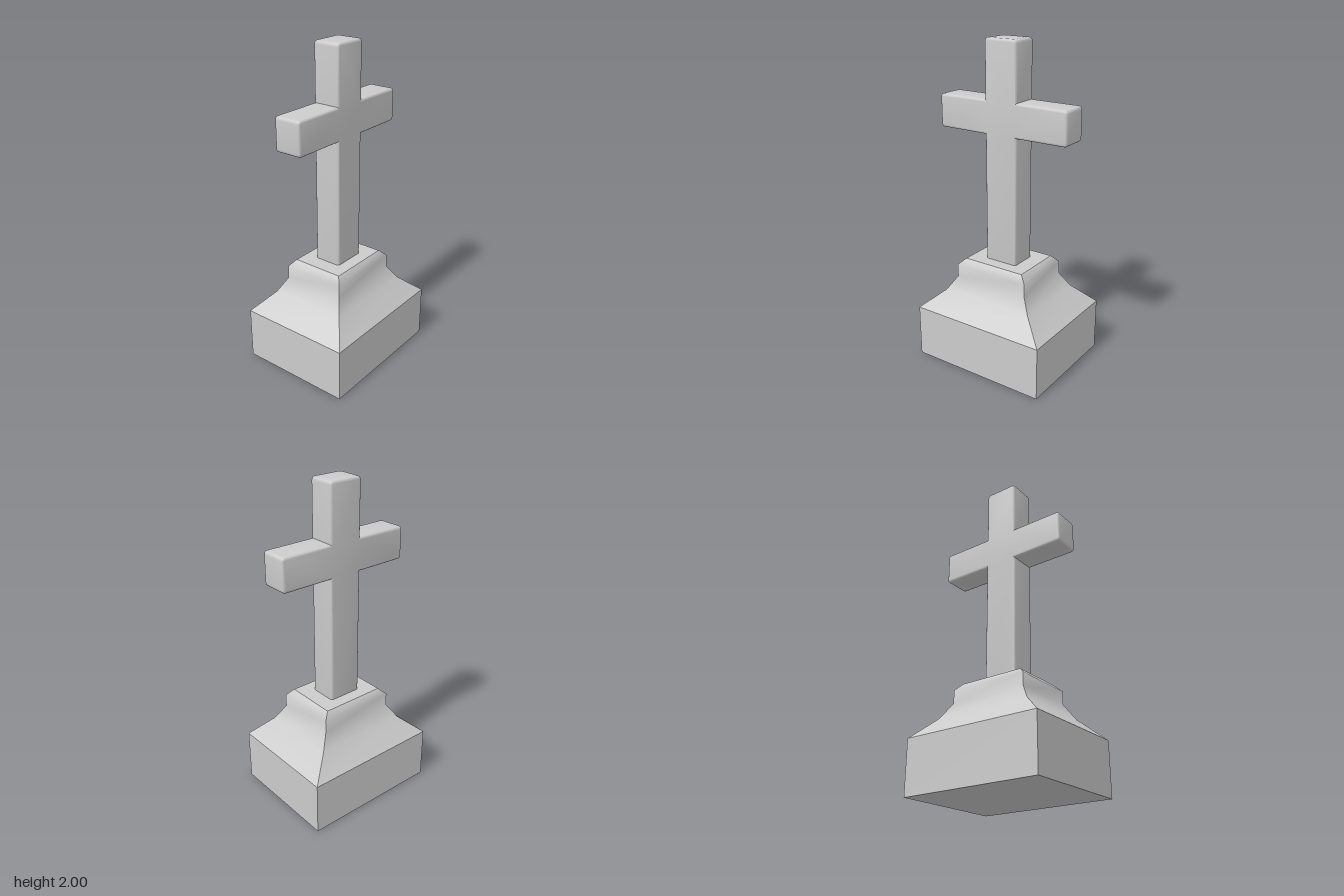
import * as THREE from 'three';
import { toCreasedNormals } from 'three/addons/utils/BufferGeometryUtils.js';

const material = new THREE.MeshStandardMaterial({ color: 0xcccccc });

// One side of the flared pedestal: a strip smooth along its height, sharp at the corners
function flareSide(profile, turn) {
  const positions = [], index = [];
  profile.forEach(([hx, hz, y], i) => {
    const [half, out] = turn % 2 ? [hz, hx] : [hx, hz];
    positions.push(-half, y, out, half, y, out);
    if (i > 0) {
      const a = 2 * (i - 1);
      index.push(a, a + 1, a + 3, a, a + 3, a + 2);
    }
  });
  const geometry = new THREE.BufferGeometry();
  geometry.setAttribute('position', new THREE.Float32BufferAttribute(positions, 3));
  geometry.setIndex(index);
  geometry.computeVertexNormals();
  return geometry.rotateY(turn * Math.PI / 2);
}

// Closed outline whose convex corners are rounded and concave corners stay sharp
function roundedOutline(points, radius) {
  const shape = new THREE.Shape();
  const n = points.length;
  points.forEach((p, i) => {
    const toPrev = points[(i + n - 1) % n].clone().sub(p).normalize();
    const toNext = points[(i + 1) % n].clone().sub(p).normalize();
    const convex = toNext.cross(toPrev) > 0;
    const r = convex ? radius : 0;
    const a = p.clone().addScaledVector(toPrev, r);
    const b = p.clone().addScaledVector(toNext, r);
    if (i === 0) shape.moveTo(a.x, a.y);
    else shape.lineTo(a.x, a.y);
    if (convex) shape.quadraticCurveTo(p.x, p.y, b.x, b.y);
  });
  shape.closePath();
  return shape;
}

export function createModel() {
  const model = new THREE.Group();
  const add = (name, geometry, parent = model) => {
    const mesh = new THREE.Mesh(geometry, material);
    mesh.name = name;
    parent.add(mesh);
    return mesh;
  };

  // Plinth block
  add('plinth', new THREE.BoxGeometry(0.884, 0.33, 0.714)).position.y = 0.165;

  // Flared pedestal: half width, half depth, height
  const profile = [
    [0.442, 0.357, 0.33], [0.305, 0.247, 0.45], [0.247, 0.199, 0.54],
    [0.247, 0.199, 0.62], [0.205, 0.165, 0.66],
  ];
  const pedestal = new THREE.Group();
  pedestal.name = 'pedestal';
  model.add(pedestal);
  for (let turn = 0; turn < 4; turn++) add('pedestalSide', flareSide(profile, turn), pedestal);
  const top = new THREE.PlaneGeometry(0.41, 0.33).rotateX(-Math.PI / 2);
  add('pedestalTop', top, pedestal).position.y = 0.66;

  // Cross with softened edges, its foot sunk into the pedestal
  const w = 0.108, arm = 0.438, low = 1.448, high = 1.652, bevel = 0.015, depth = 0.174;
  const outline = [
    [-w, 0.6], [w, 0.6], [w, low], [arm, low], [arm, high], [w, high],
    [w, 2], [-w, 2], [-w, high], [-arm, high], [-arm, low], [-w, low],
  ].map(([x, y]) => new THREE.Vector2(x, y));
  const cross = new THREE.ExtrudeGeometry(roundedOutline(outline, 0.022), {
    depth: depth - 2 * bevel, curveSegments: 4, bevelEnabled: true,
    bevelThickness: bevel, bevelSize: bevel, bevelOffset: -bevel, bevelSegments: 3,
  }).translate(0, 0, bevel - depth / 2);
  add('cross', toCreasedNormals(cross, 0.7));

  return model;
}
